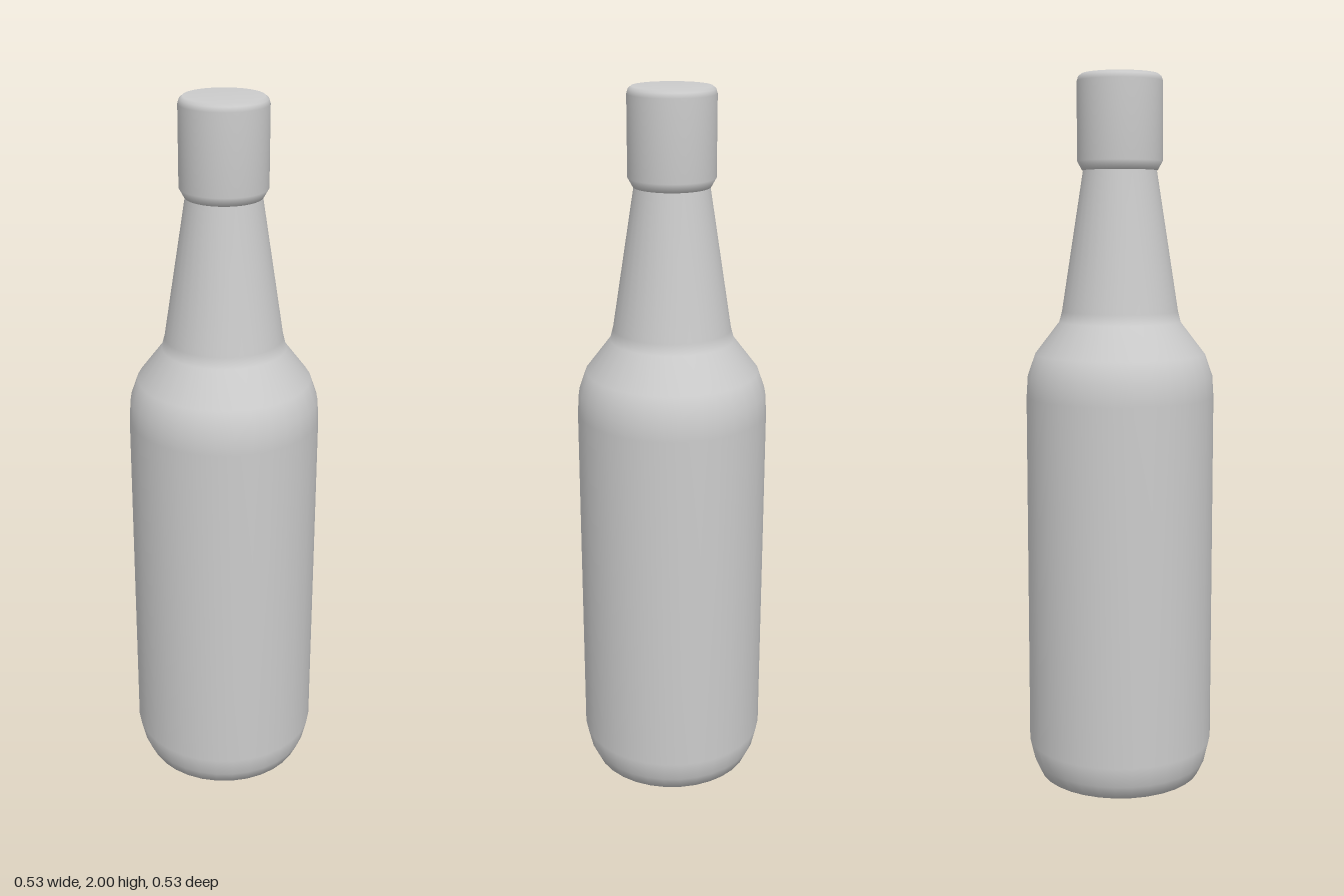
import * as THREE from 'three';

const material = new THREE.MeshStandardMaterial({ color: 0xcccccc });

// Smooth surface of revolution from [radius, height] pairs, bottom to top
function lathePart(name, profile, segments) {
  const points = profile.map(([r, y]) => new THREE.Vector2(r, y));
  const mesh = new THREE.Mesh(new THREE.LatheGeometry(points, segments), material);
  mesh.name = name;
  return mesh;
}

export function createModel() {
  const group = new THREE.Group();
  group.name = 'bottle';

  // Glass: flat base, rounded heel, straight body, shoulder and tapering neck
  group.add(lathePart('bottleBody', [
    [0, 0], [0.233, 0], [0.252, 0.04], [0.266, 0.1],
    [0.266, 1.11], [0.262, 1.17], [0.241, 1.23],
    [0.172, 1.32], [0.164, 1.35], [0.103, 1.74], [0.103, 1.78],
  ], 32));

  // Cap: closed cylinder with slightly bevelled rims
  group.add(lathePart('cap', [
    [0, 1.74], [0.105, 1.74], [0.119, 1.765],
    [0.119, 1.98], [0.115, 1.993], [0.106, 2], [0, 2],
  ], 64));

  return group;
}
